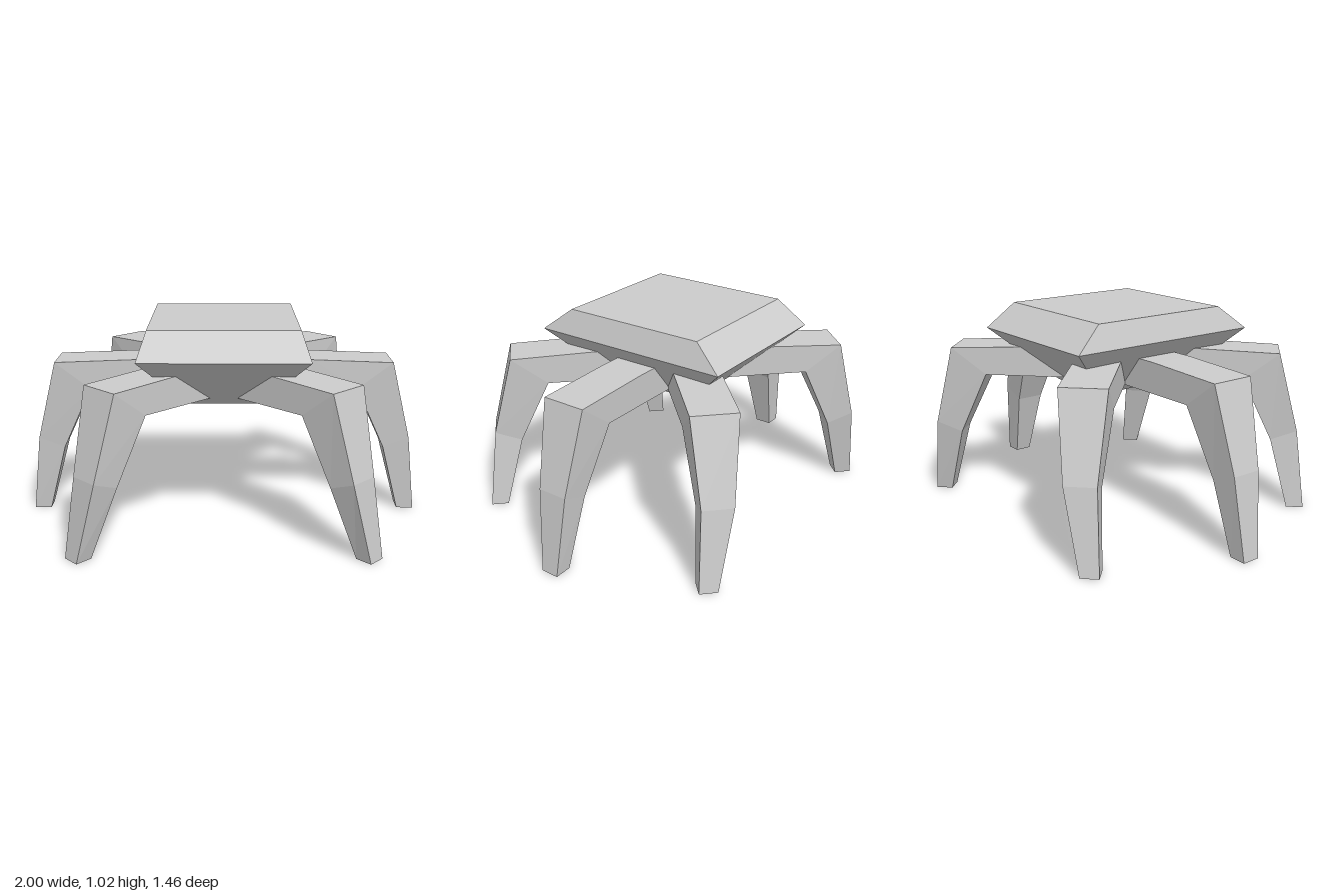
import * as THREE from 'three';

const material = new THREE.MeshStandardMaterial({ color: 0xcccccc, flatShading: true });

// Joins four-cornered rings into a closed, flat-shaded solid.
// Each ring runs counterclockwise as seen from the last ring's end.
function loft(name, rings) {
  const positions = [];
  const quad = (a, b, c, d) => [a, b, c, a, c, d].forEach(p => positions.push(...p));
  for (let r = 0; r < rings.length - 1; r++) {
    for (let i = 0; i < 4; i++) {
      const j = (i + 1) % 4;
      quad(rings[r][i], rings[r][j], rings[r + 1][j], rings[r + 1][i]);
    }
  }
  quad(...[...rings[0]].reverse());
  quad(...rings[rings.length - 1]);
  const geometry = new THREE.BufferGeometry();
  geometry.setAttribute('position', new THREE.Float32BufferAttribute(positions, 3));
  geometry.computeVertexNormals();
  const mesh = new THREE.Mesh(geometry, material);
  mesh.name = name;
  return mesh;
}

// Horizontal ring of the body
const bodyRing = (y, x, front, back) => [[x, y, front], [x, y, back], [-x, y, back], [-x, y, front]];

// Leg reaching along +x; sway pushes the foot sideways
function makeLeg(name, sway) {
  // outer x, outer y, inner x, inner y, half width, sideways shift
  const sections = [
    [0.10, 0.82, 0.10, 0.67, 0.11, 0],
    [0.44, 0.82, 0.44, 0.67, 0.11, 0],
    [0.845, 0.805, 0.67, 0.67, 0.11, 0],
    [0.95, 0.40, 0.82, 0.35, 0.075, 0],
    [1.00, 0, 0.915, 0, 0.044, sway],
  ];
  return loft(name, sections.map(([xo, yo, xi, yi, w, s]) => [
    [xo, yo, s - w], [xo, yo, s + w], [xi, yi, s + w], [xi, yi, s - w],
  ]));
}

export function createModel() {
  const model = new THREE.Group();
  model.name = 'walker';

  // Faceted body
  model.add(loft('body', [
    bodyRing(0.63, 0.18, 0.23, -0.23),
    bodyRing(0.90, 0.40, 0.515, -0.515),
    bodyRing(1.02, 0.36, 0.36, -0.375),
  ]));

  // Three legs on each side
  for (const side of [1, -1]) {
    const label = side > 0 ? 'left' : 'right';
    const rows = [
      ['FrontLeg', 1, -0.06, -0.0425, 0.0075],
      ['MiddleLeg', 0, 0, 0, -0.01],
      ['BackLeg', -1, 0.045, -0.0425, -0.0075],
    ];
    for (const [name, forward, sway, x, z] of rows) {
      const leg = makeLeg(label + name, sway * side);
      leg.rotation.y = Math.atan2(-forward, forward ? side : side * 1);
      leg.position.set(x * side, 0, z);
      model.add(leg);
    }
  }
  return model;
}
